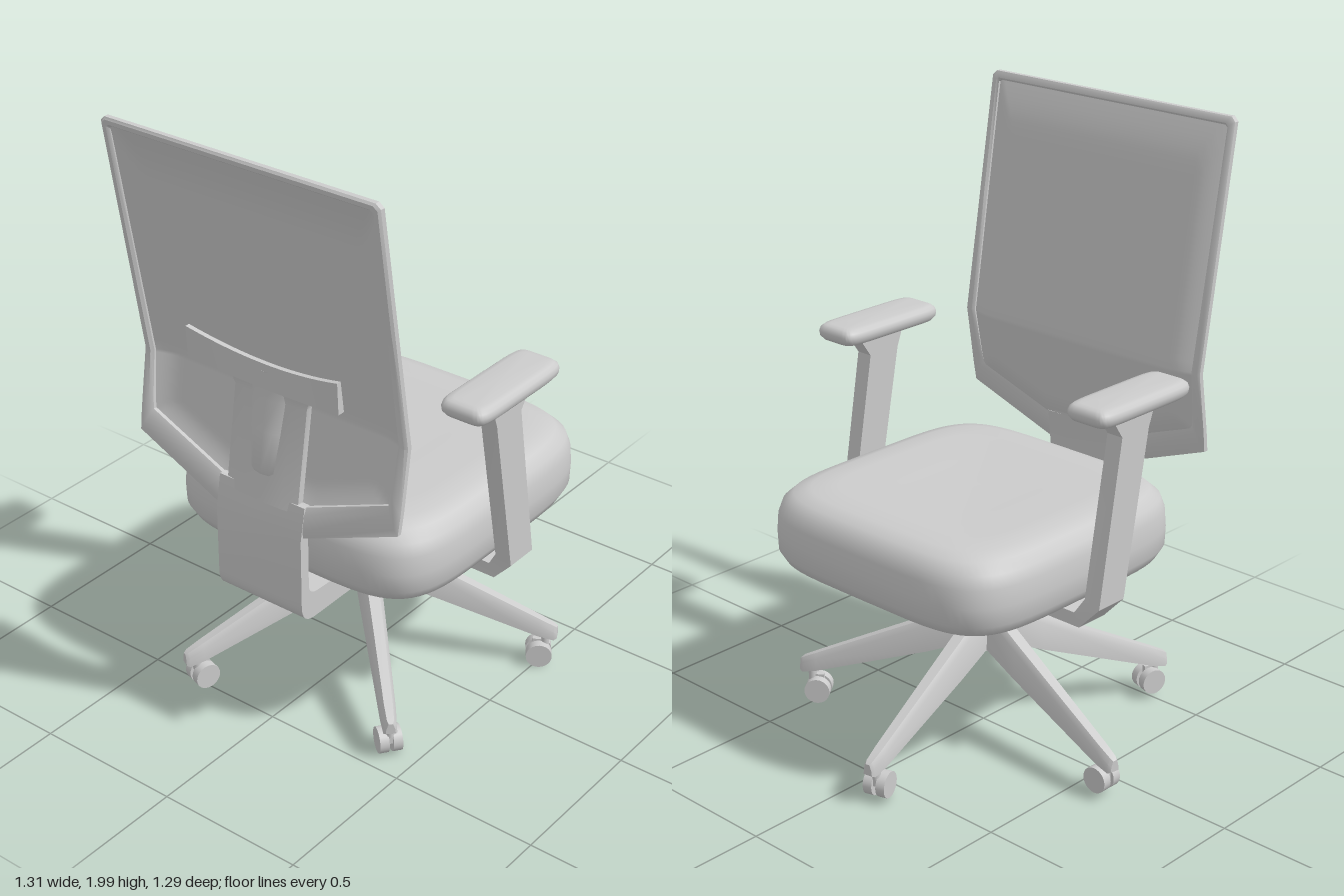
import * as THREE from 'three';
import { toCreasedNormals } from 'three/addons/utils/BufferGeometryUtils.js';

const grey = new THREE.MeshStandardMaterial({ color: 0xcccccc });
const thin = new THREE.MeshStandardMaterial({ color: 0xcccccc, side: THREE.DoubleSide });

function add(parent, name, geometry, x = 0, y = 0, z = 0, material = grey) {
  const m = new THREE.Mesh(geometry, material);
  m.name = name;
  m.position.set(x, y, z);
  parent.add(m);
  return m;
}

// Skin a list of equal-length rings of [x, y, z]; capped ends, or joined into a loop
function loft(rings, { loop = false, crease = 0.6 } = {}) {
  const n = rings[0].length, pos = rings.flat(2), idx = [];
  const count = loop ? rings.length : rings.length - 1;
  for (let i = 0; i < count; i++) for (let j = 0; j < n; j++) {
    const k = (j + 1) % n, r = ((i + 1) % rings.length) * n;
    idx.push(i * n + j, i * n + k, r + k, i * n + j, r + k, r + j);
  }
  if (!loop) [0, rings.length - 1].forEach((r, end) => {
    const c = [0, 1, 2].map(a => rings[r].reduce((s, p) => s + p[a], 0) / n);
    const ci = pos.push(...c) / 3 - 1;
    for (let j = 0; j < n; j++) {
      const a = r * n + j, b = r * n + (j + 1) % n;
      idx.push(ci, end ? a : b, end ? b : a);
    }
  });
  // Turn the faces outward if the enclosed volume comes out negative
  const v = i => new THREE.Vector3().fromArray(pos, i * 3);
  let volume = 0;
  for (let i = 0; i < idx.length; i += 3) volume += v(idx[i]).dot(v(idx[i + 1]).cross(v(idx[i + 2])));
  if (volume < 0) idx.reverse();
  const g = new THREE.BufferGeometry();
  g.setAttribute('position', new THREE.Float32BufferAttribute(pos, 3));
  g.setIndex(idx);
  return toCreasedNormals(g, crease);
}

// Soft slab with a superellipse plan; levels are [y, inset]
function cushion(hx, hz, power, levels) {
  const e = 2 / power, f = c => Math.sign(c) * Math.abs(c) ** e;
  return loft(levels.map(([y, inset]) => Array.from({ length: 64 }, (_, i) => {
    const a = i / 64 * Math.PI * 2;
    return [(hx - inset) * f(Math.cos(a)), y, (hz - inset) * f(Math.sin(a))];
  })), { crease: 1.2 });
}

const mix = THREE.MathUtils.lerp;
// Side profile of the backrest: leans back above the lumbar, kicks back below it
const backZ = y => y > 1.2 ? mix(0.497, 0.628, (y - 1.2) / 0.8) : mix(0.497, 0.56, (1.2 - y) / 0.4);

function backrest() {
  const g = new THREE.Group();
  g.name = 'backrest';

  // Rim: pairs of outer and inner outline points for one half, then mirrored
  const half = [
    [0.165, 0.80, 0.165, 0.90], [0.5, 0.93, 0.455, 1.01], [0.5025, 1.0, 0.46, 1.06],
    [0.5025, 1.2, 0.468, 1.2], [0.5025, 1.6, 0.472, 1.6], [0.5025, 1.985, 0.475, 1.965], [0.487, 2, 0.465, 1.972],
  ];
  const outline = [...half, ...half.map(([a, b, c, d]) => [-a, b, -c, d]).reverse()];
  const section = [[0, -0.008], [0, 0.008], [0.25, 0.015], [0.75, 0.015], [1, 0.006], [1, -0.006], [0.75, -0.013], [0.25, -0.013]];
  add(g, 'backFrame', loft(outline.map(([ox, oy, ix, iy]) => section.map(([t, z]) => {
    const y = mix(oy, iy, t);
    return [mix(ox, ix, t), y, backZ(y) + z];
  })), { loop: true, crease: 0.7 }));

  // Panel: dished forward from the rim
  const panel = new THREE.PlaneGeometry(2, 2, 48, 48), p = panel.attributes.position;
  for (let i = 0; i < p.count; i++) {
    const u = p.getX(i), t = p.getY(i), x = u * 0.485;
    const bottom = 0.85 + 0.12 * THREE.MathUtils.clamp((Math.abs(x) - 0.165) / 0.32, 0, 1);
    const y = t > 0 ? mix(1.2, 1.985, t) : mix(1.2, bottom, -t);
    const inset = Math.min((0.485 - Math.abs(x)) / 0.1, (1.985 - y) / 0.17, (y - bottom) / 0.12, 1);
    p.setXYZ(i, x, y, backZ(y) + 0.006 - 0.026 * Math.sin(inset * Math.PI / 2));
  }
  panel.computeVertexNormals();
  add(g, 'backPanel', panel, 0, 0, 0, thin);

  // Lumbar bar, curved upward at its ends
  const bar = [];
  for (let i = 0; i <= 16; i++) {
    const u = i / 8 - 1, x = u * 0.287, top = 1.32 + 0.04 * u * u, low = 1.235 + 0.02 * u * u;
    const z = 0.012 * u * u;
    bar.push([[x, low, backZ(low) + z + 0.005], [x, top, backZ(top) + z + 0.002],
      [x, top, backZ(top) + z + 0.018], [x, low, backZ(low) + z + 0.03]]);
  }
  add(g, 'lumbarBar', loft(bar));

  // Bracket plate and rounded rib joining the lumbar bar to the spine: [y, half width]
  const strip = (rows, depth) => loft(rows.map(([y, w, d = depth]) => {
    const z = backZ(y);
    return [[-w, y, z - 0.012], [-w, y, z + d * 0.5], [-w * 0.6, y, z + d * 0.9], [0, y, z + d],
      [w * 0.6, y, z + d * 0.9], [w, y, z + d * 0.5], [w, y, z - 0.012]];
  }), { crease: 0.9 });
  add(g, 'lumbarBracket', strip([[0.87, 0.137], [1.2, 0.137], [1.235, 0.15], [1.25, 0.185], [1.295, 0.19]], 0.022));
  add(g, 'lumbarRib', strip([[0.94, 0.035, 0.01], [0.97, 0.05, 0.032], [1.1, 0.06, 0.036], [1.2, 0.068, 0.036], [1.26, 0.075, 0.025]], 0.03));
  return g;
}

function caster(parent, y) {
  const g = new THREE.Group();
  g.name = 'caster';
  g.position.set(0.585, y, 0);
  g.rotation.y = 0.15;
  for (const s of [-1, 1]) {
    const wheel = new THREE.CylinderGeometry(0.043, 0.043, 0.03, 24);
    wheel.rotateX(Math.PI / 2);
    add(g, 'wheel', wheel, 0, 0, s * 0.022);
  }
  add(g, 'wheelFork', new THREE.BoxGeometry(0.05, 0.05, 0.016), 0.005, 0.025, 0);
  add(g, 'casterStem', new THREE.CylinderGeometry(0.014, 0.014, 0.06, 16), 0.02, 0.055, 0);
  parent.add(g);
}

function base() {
  const g = new THREE.Group();
  g.name = 'base';
  g.position.set(-0.02, 0, -0.01);
  add(g, 'gasColumn', new THREE.CylinderGeometry(0.04, 0.04, 0.13, 32), 0, 0.505, 0);
  add(g, 'hub', new THREE.CylinderGeometry(0.042, 0.05, 0.13, 32), 0, 0.393, 0);
  add(g, 'hubFoot', new THREE.CylinderGeometry(0.03, 0.03, 0.07, 24), 0, 0.315, 0);

  // Tapered spokes: [radius, top y, bottom y, top half width, bottom half width]
  const spoke = [[0, 0.46, 0.33, 0.028, 0.045], [0.19, 0.368, 0.255, 0.027, 0.038],
    [0.585, 0.182, 0.12, 0.02, 0.026], [0.635, 0.158, 0.108, 0.016, 0.022], [0.645, 0.15, 0.113, 0.01, 0.016]];
  for (let k = 0; k < 5; k++) {
    const a = THREE.MathUtils.degToRad(-99 + 72 * k);
    const leg = new THREE.Group();
    leg.name = 'baseLeg';
    leg.rotation.y = -a;
    add(leg, 'spoke', loft(spoke.map(([r, t, b, wt, wb]) =>
      [[r, b, -wb], [r, t - 0.02, -wt - 0.004], [r, t, -wt * 0.7], [r, t, wt * 0.7], [r, t - 0.02, wt + 0.004], [r, b, wb]])));
    caster(leg, 0.058 - 0.011 * Math.cos(a));
    g.add(leg);
  }
  return g;
}

function armrests() {
  const g = new THREE.Group();
  g.name = 'armrests';
  // U-shaped bracket: [outer x, outer y, inner x, inner y, z from, z to], one half then mirrored
  const half = [
    [0.568, 1.22, 0.51, 1.22, -0.02, 0.19], [0.568, 1.14, 0.51, 1.14, 0.035, 0.16],
    [0.568, 0.60, 0.51, 0.62, -0.056, 0.06], [0.50, 0.525, 0.48, 0.57, -0.07, 0.05],
  ];
  const path = [...half, ...half.map(([a, b, c, ...r]) => [-a, b, -c, ...r]).reverse()];
  add(g, 'armBracket', loft(path.map(([ox, oy, ix, iy, z0, z1]) =>
    [[ox, oy, z0], [ox, oy, z1], [ix, iy, z1], [ix, iy, z0]]), { crease: 0.2 }));
  const pad = cushion(0.084, 0.211, 7, [[1.208, 0.03], [1.212, 0.012], [1.225, 0.002], [1.24, 0], [1.253, 0.004], [1.262, 0.014], [1.265, 0.03]]);
  for (const s of [-1, 1]) add(g, 'armPad', pad, s * 0.537, 0, 0.1);
  return g;
}

export function createModel() {
  const model = new THREE.Group();
  model.name = 'officeChair';
  const upper = new THREE.Group();
  upper.name = 'upperChair';
  upper.position.x = 0.033;
  model.add(upper, base());

  // Seat cushion
  add(upper, 'seat', cushion(0.5025, 0.508, 5, [[0.567, 0.3], [0.572, 0.14], [0.583, 0.06], [0.605, 0.02], [0.64, 0.002],
    [0.70, 0], [0.76, 0.004], [0.80, 0.016], [0.83, 0.045], [0.844, 0.09], [0.847, 0.16], [0.838, 0.32]]), 0, 0, -0.018);

  // J-shaped spine running under the seat and up to the backrest
  const spine = new THREE.Shape();
  spine.moveTo(-0.06, 0.505).lineTo(0.52, 0.495).quadraticCurveTo(0.58, 0.495, 0.58, 0.56);
  spine.lineTo(0.58, 0.79).lineTo(0.56, 0.90).lineTo(0.532, 0.90).lineTo(0.545, 0.79).lineTo(0.545, 0.62);
  spine.quadraticCurveTo(0.545, 0.583, 0.50, 0.583).lineTo(-0.06, 0.57).closePath();
  const spineGeometry = new THREE.ExtrudeGeometry(spine, { depth: 0.33, bevelEnabled: false, curveSegments: 8 });
  spineGeometry.rotateY(-Math.PI / 2).translate(0.165, 0, 0);
  add(upper, 'spine', toCreasedNormals(spineGeometry, 0.5));

  upper.add(backrest(), armrests());
  return model;
}
